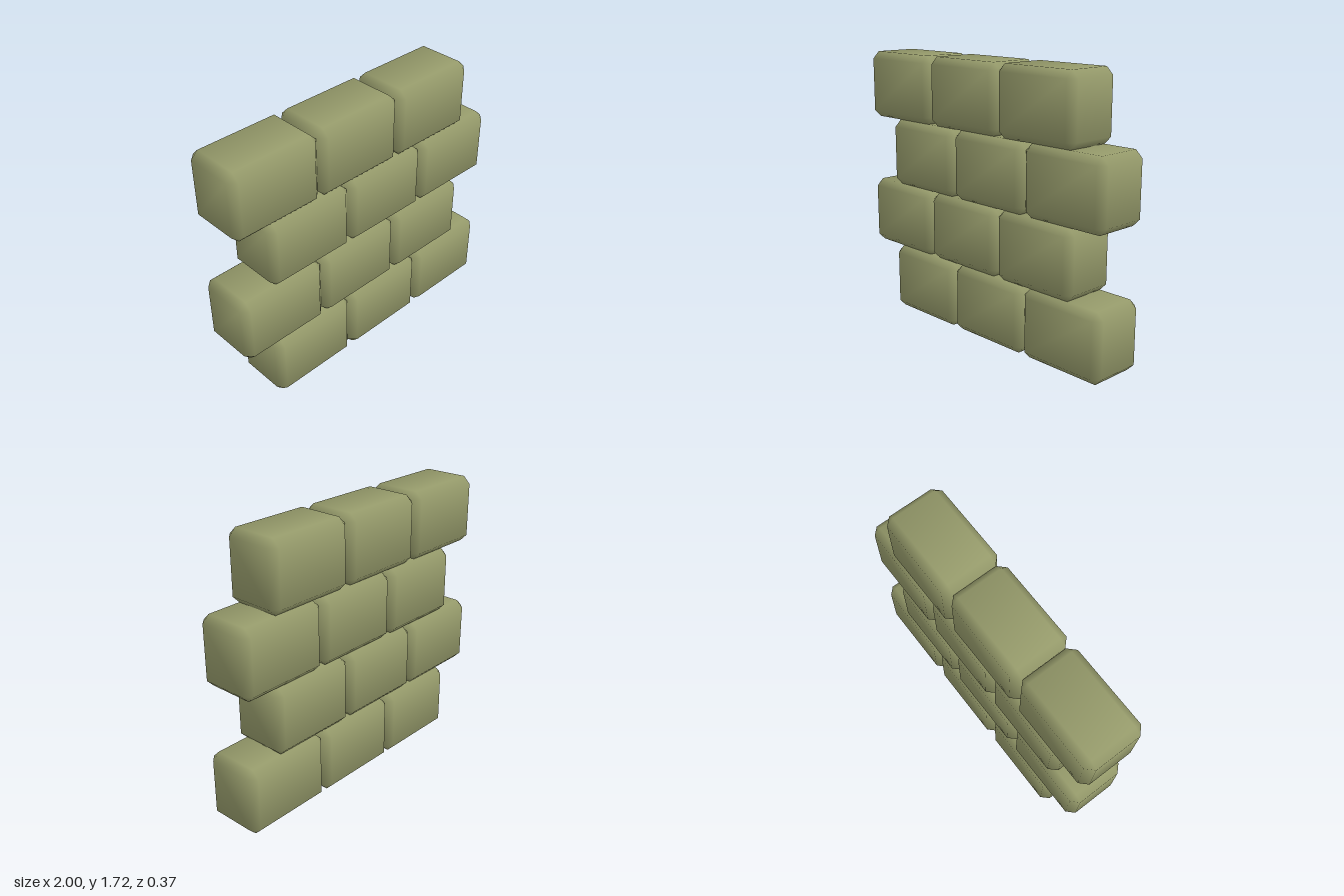
import * as THREE from 'three';
import { mergeVertices } from 'three/addons/utils/BufferGeometryUtils.js';
import { ConvexGeometry } from 'three/addons/geometries/ConvexGeometry.js';

const SIZE = [0.592, 0.429, 0.374]; // width, height, depth of a brick
const CHAMFER = 0.045;
const PITCH = 0.595; // spacing along a row
const SHIFT = 0.109; // half the offset between neighbouring rows

// Box with chamfered edges and corners, shaded softly across every face
function chamferedBox() {
  const half = SIZE.map((s) => s / 2);
  const points = [];
  for (let axis = 0; axis < 3; axis++) {
    for (const sx of [-1, 1]) for (const sy of [-1, 1]) for (const sz of [-1, 1]) {
      const p = half.map((h, i) => (i === axis ? h : h - CHAMFER));
      points.push(new THREE.Vector3(p[0] * sx, p[1] * sy, p[2] * sz));
    }
  }
  let geometry = new ConvexGeometry(points);
  geometry.deleteAttribute('normal');
  geometry = mergeVertices(geometry);

  // Each normal leans from its face towards the neighbouring chamfers
  const position = geometry.attributes.position;
  const normals = [];
  const n = new THREE.Vector3();
  for (let i = 0; i < position.count; i++) {
    const p = [position.getX(i), position.getY(i), position.getZ(i)];
    const lean = p.map((v, k) => Math.sign(v) * (Math.abs(v) > half[k] - CHAMFER / 2 ? 1 : 0.39));
    normals.push(...n.fromArray(lean).normalize().toArray());
  }
  geometry.setAttribute('normal', new THREE.Float32BufferAttribute(normals, 3));
  return geometry;
}

export function createModel() {
  const wall = new THREE.Group();
  wall.name = 'brickWall';
  const olive = new THREE.MeshStandardMaterial({ color: 0x969b6b });
  olive.name = 'olive stone';
  const brickGeometry = chamferedBox();

  // Four rows of three bricks in staggered bond
  for (let row = 0; row < 4; row++) {
    const course = new THREE.Group();
    course.name = `brickRow${row + 1}`;
    course.position.set(row % 2 ? -SHIFT : SHIFT, SIZE[1] * (row + 0.5), 0);
    for (let i = -1; i <= 1; i++) {
      const brick = new THREE.Mesh(brickGeometry, olive);
      brick.name = `brick${i + 2}`;
      brick.position.x = i * PITCH;
      course.add(brick);
    }
    wall.add(course);
  }
  return wall;
}
